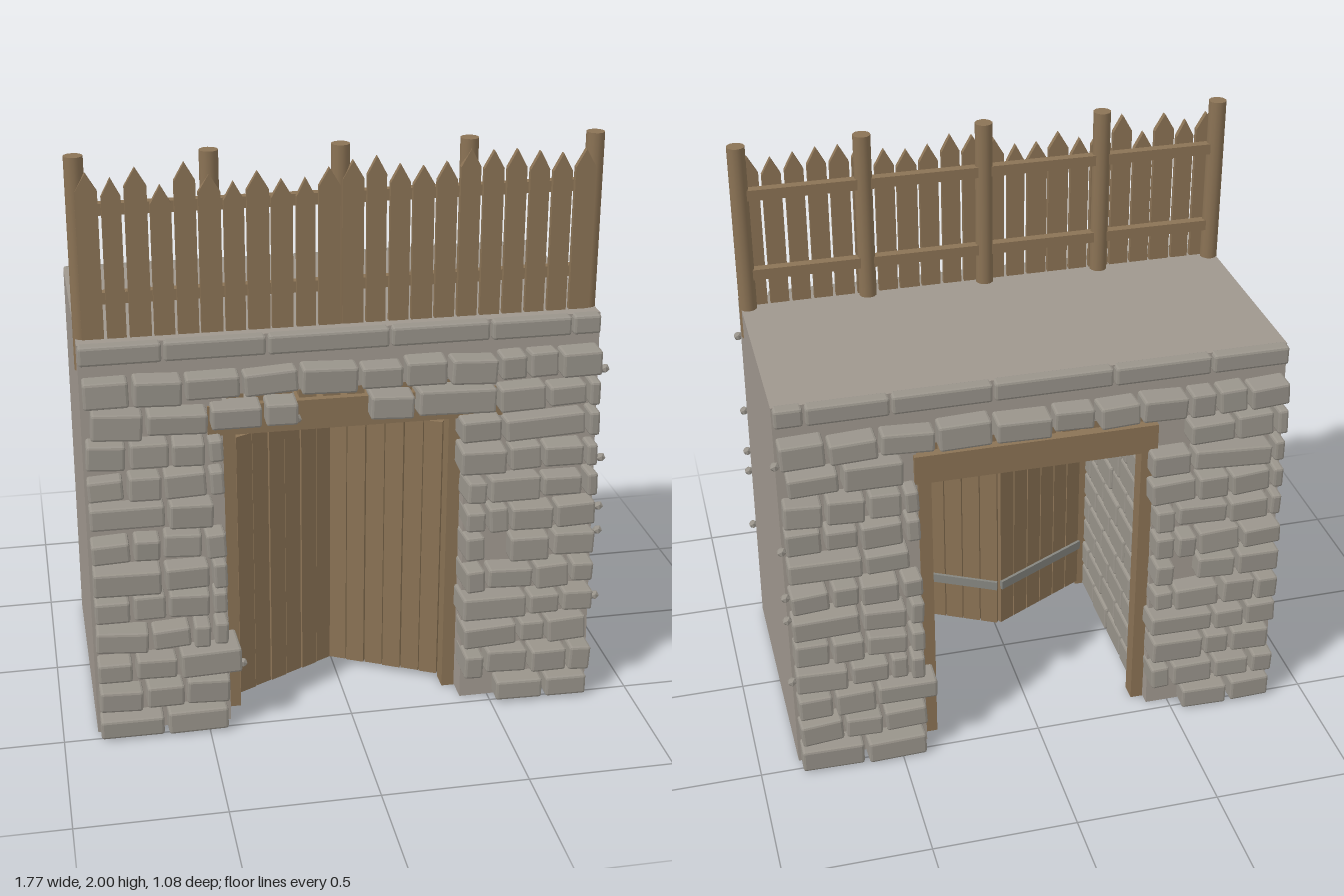
import * as THREE from 'three';
import { RoundedBoxGeometry } from 'three/addons/geometries/RoundedBoxGeometry.js';

const wall = new THREE.MeshStandardMaterial({ color: 0x9f978e });
wall.name = 'mortar wall';
const stone = new THREE.MeshStandardMaterial({ color: 0x99948b });
stone.name = 'grey stone';
const wood = new THREE.MeshStandardMaterial({ color: 0x8b7355 });
wood.name = 'brown wood';
const iron = new THREE.MeshStandardMaterial({ color: 0x85857f });
iron.name = 'grey iron';

const CX = -0.01, LEFT = -0.882, RIGHT = 0.862;
const IN_L = -0.42, IN_R = 0.40, CEILING = 1.2, TOP = 1.4;
const halfDepth = (y) => 0.46 - 0.065 * y / TOP;

let seed = 11;
const rand = (a, b) => {
  seed = (seed * 16807) % 2147483647;
  return a + (b - a) * seed / 2147483647;
};

function add(parent, name, geometry, material, x = 0, y = 0, z = 0) {
  const mesh = new THREE.Mesh(geometry, material);
  mesh.name = name;
  mesh.position.set(x, y, z);
  parent.add(mesh);
  return mesh;
}

// Box given by its minimum and maximum corners
function span(parent, name, material, x0, x1, y0, y1, z0, z1) {
  return add(parent, name, new THREE.BoxGeometry(x1 - x0, y1 - y0, z1 - z0), material,
    (x0 + x1) / 2, (y0 + y1) / 2, (z0 + z1) / 2);
}

// Chamfered block with flat facets
function block(parent, name, w, h, d, x, y, z) {
  const geo = new RoundedBoxGeometry(w, h, d, 1, 0.009);
  geo.computeVertexNormals();
  return add(parent, name, geo, stone, x, y, z);
}

function group(parent, name) {
  const g = new THREE.Group();
  g.name = name;
  parent.add(g);
  return g;
}

// Stone edges along x (hundredths) for each course, in separate runs
const COURSES = [
  [[-88, -65, -43], [51, 69, 85]],
  [[-88, -72, -58, -42], [39, 47, 63, 77, 86]],
  [[-88, -75, -60, -38], [39, 59, 69, 84]],
  [[-88, -69, -55, -48, -42], [38, 62, 74, 86]],
  [[-88, -75, -63, -48, -42], [39, 47, 64, 77, 86]],
  [[-88, -64, -48, -42], [39, 47], [55, 70, 86]],
  [[-88, -74, -64, -50, -42], [39, 47, 55, 71, 86]],
  [[-88, -62, -46], [39, 47, 66, 81, 86]],
  [[-88, -75, -63, -48, -42], [37, 54, 66, 81, 86]],
  [[-88, -74, -60, -48, -42], [37, 52, 81, 86]],
  [[-86, -68, -47, -29, -17], [6, 22, 50, 67, 81, 86]],
  [[-88, -72, -55, -36, -17, 3, 18, 33, 50, 60, 71, 86]],
];

function rubbleFace(parent, side) {
  const g = group(parent, side > 0 ? 'frontStones' : 'backStones');
  COURSES.forEach((runs, row) => {
    const y = 0.045 + row * 0.1095;
    for (const run of runs) for (let i = 0; i + 1 < run.length; i++) {
      const w = (run[i + 1] - run[i]) / 100 - 0.014;
      let x = (run[i] + run[i + 1]) / 200;
      if (side < 0) x = 2 * CX - x;
      // The rear lintel stays uncovered
      if (side < 0 && row === 10 && Math.abs(x - CX) < 0.42) continue;
      const m = block(g, 'stone', w, rand(0.07, 0.092), rand(0.115, 0.145),
        x, y + rand(-0.006, 0.006), side * (halfDepth(y) + rand(0.004, 0.014)));
      m.rotation.set(rand(-0.05, 0.05), rand(-0.04, 0.04), row ? rand(-0.06, 0.06) : 0);
    }
  });
  // Small pebbles wedged at the corners
  for (const [x, y] of [[0.868, 1.22], [0.868, 0.9], [0.868, 0.72], [0.868, 0.63], [0.868, 0.38],
    [-0.38, 0.245], [-0.18, 1.12], [0.43, 0.8]]) {
    if (side < 0 && x < 0.8) continue;
    add(g, 'pebble', new THREE.IcosahedronGeometry(0.017, 0), stone, x, y, side * (halfDepth(y) + 0.05));
  }
  // Coping along the top edge
  const edges = [LEFT - 0.003, -0.61, -0.27, 0.14, 0.48, 0.76, RIGHT];
  for (let i = 0; i < 6; i++) {
    block(g, 'copingStone', edges[i + 1] - edges[i] - 0.008, 0.066, 0.05,
      (edges[i] + edges[i + 1]) / 2, 1.368, side * rand(0.398, 0.404));
  }
}

function gateBody(parent) {
  // Arch outline extruded through, battered towards the top
  const s = new THREE.Shape([[LEFT, 0], [IN_L, 0], [IN_L, CEILING], [IN_R, CEILING], [IN_R, 0],
    [RIGHT, 0], [RIGHT, TOP], [LEFT, TOP]].map(([x, y]) => new THREE.Vector2(x, y)));
  const geo = new THREE.ExtrudeGeometry(s, { depth: 1, bevelEnabled: false });
  const p = geo.attributes.position;
  for (let i = 0; i < p.count; i++) p.setZ(i, (p.getZ(i) - 0.5) * 2 * halfDepth(p.getY(i)));
  geo.computeVertexNormals();
  add(parent, 'gateBody', geo, wall);
}

function passage(parent) {
  const g = group(parent, 'passage');
  // Running-bond blocks on both inner walls
  for (const x of [IN_L, IN_R]) for (let row = 0; row < 10; row++) {
    const start = row % 2 ? -0.45 : -0.36;
    for (let i = 0; i < 5; i++) {
      const z0 = Math.max(-0.36, start + i * 0.17), z1 = Math.min(0.31, start + (i + 1) * 0.17);
      if (z1 - z0 < 0.04) continue;
      block(g, 'passageBlock', 0.04, 0.098, z1 - z0 - 0.01, x + rand(-0.003, 0.003),
        0.055 + row * 0.107, (z0 + z1) / 2);
    }
  }
  // Frame posts, lintels and ceiling
  for (const [z0, z1] of [[0.31, 0.38], [-0.42, -0.36]]) {
    span(g, 'framePost', wood, -0.418, -0.374, 0, 1.07, z0, z1);
    span(g, 'framePost', wood, 0.354, 0.398, 0, 1.07, z0, z1);
  }
  span(g, 'frontLintel', wood, -0.47, 0.53, 1.06, 1.165, 0.33, 0.415);
  span(g, 'backLintel', wood, -0.43, 0.41, 1.06, 1.165, -0.425, -0.34);
  for (const z of [-0.1, 0.12]) span(g, 'ceilingBeam', wood, IN_L, IN_R, 1.07, 1.165, z - 0.035, z + 0.035);
  for (let i = 0; i < 10; i++) {
    const x = -0.375 + i * 0.081;
    span(g, 'ceilingSlat', wood, x - 0.029, x + 0.029, 1.165, 1.198, -0.39, 0.39);
  }
}

// Planked leaf swung inwards from its hinge
function doorLeaf(parent, name, hingeX, dir) {
  const g = group(parent, name);
  g.position.set(hingeX, 0, 0.315);
  g.rotation.y = dir * 0.48;
  const pitch = 0.0685;
  for (let i = 0; i < 6; i++) {
    span(g, 'doorPlank', wood, ...[0, 1].map((k) => dir * (i + 0.5) * pitch + (k - 0.5) * (pitch - 0.004)),
      0.02, 1.01, -0.014, 0.014 - (i % 2) * 0.003);
  }
  for (const y of [0.2, 0.77]) {
    add(g, 'doorBand', new THREE.BoxGeometry(6 * pitch, 0.035, 0.012), iron, dir * 3 * pitch, y, -0.019);
  }
}

function palisade(parent) {
  const g = group(parent, 'palisade');
  for (let i = 0; i < 5; i++) {
    add(g, 'fencePost', new THREE.CylinderGeometry(0.031, 0.031, 0.71, 12), wood,
      -0.857 + i * 0.4235, 1.645, 0.315);
  }
  for (const y of [1.53, 1.825]) span(g, 'fenceRail', wood, -0.86, 0.84, y - 0.019, y + 0.019, 0.296, 0.329);
  // Pointed pickets with uneven tips
  const tips = [1.95, 1.93, 1.96, 1.9, 1.97, 1.93, 1.9, 1.93, 1.9, 1.9, 1.93, 1.95, 1.96, 1.93, 1.92, 1.93,
    1.97, 1.96, 1.96, 1.95, 1.94, 1.95];
  tips.forEach((tip, i) => {
    const w = rand(0.031, 0.036), h = tip - 1.39;
    const s = new THREE.Shape([[-w, 0], [w, 0], [w, h - 0.06], [0, h], [-w, h - 0.06]]
      .map(([x, y]) => new THREE.Vector2(x, y)));
    const geo = new THREE.ExtrudeGeometry(s, { depth: 0.02, bevelEnabled: false });
    add(g, 'picket', geo, wood, -0.825 + i * 0.0774, 1.39, 0.329);
  });
}

export function createModel() {
  const model = new THREE.Group();
  model.name = 'stoneGate';
  gateBody(model);
  rubbleFace(model, 1);
  rubbleFace(model, -1);
  passage(model);
  doorLeaf(model, 'rightDoor', -0.374, 1);
  doorLeaf(model, 'leftDoor', 0.354, -1);
  palisade(model);
  return model;
}
